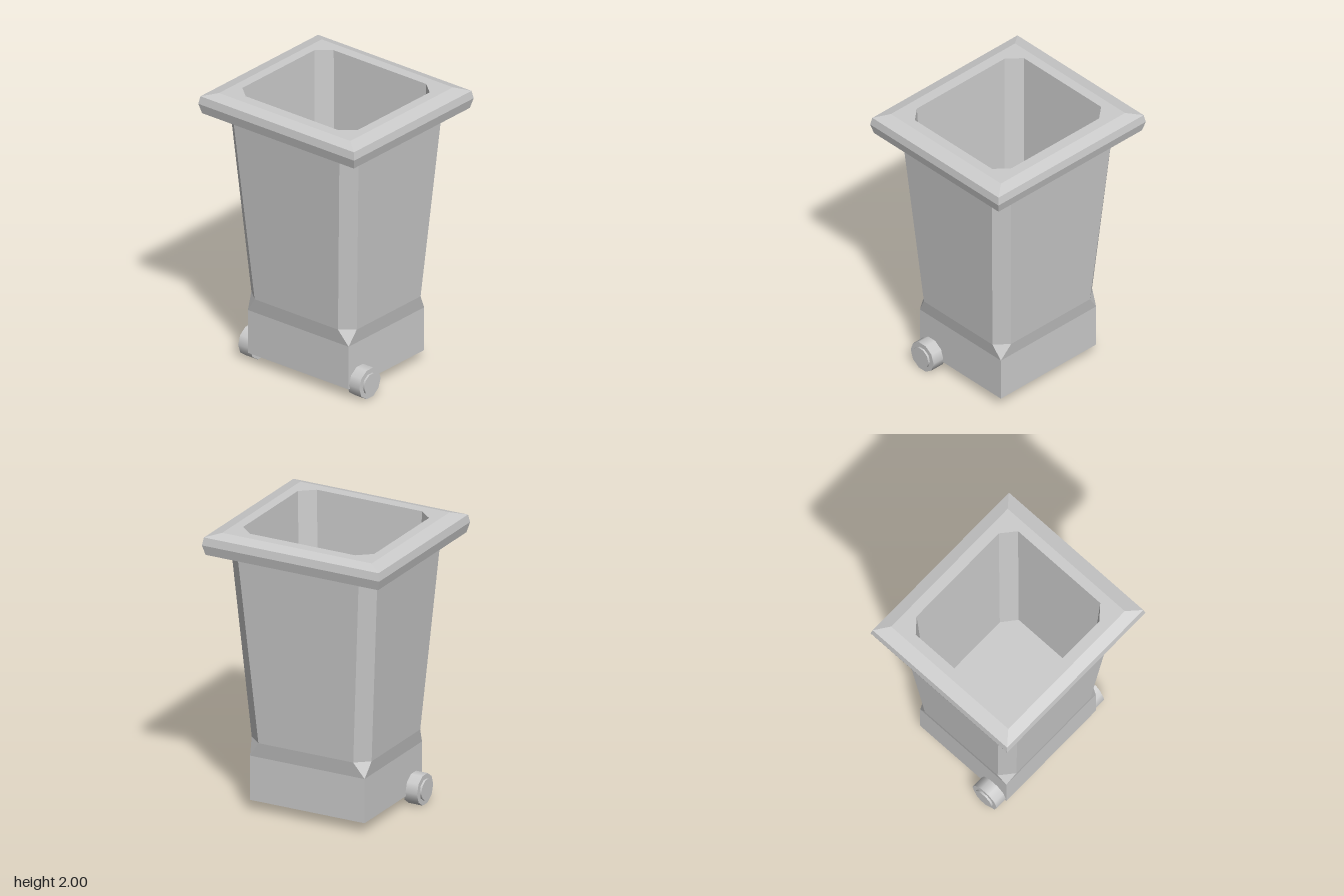
import * as THREE from 'three';

const flat = new THREE.MeshStandardMaterial({ color: 0xcccccc, flatShading: true });
const smooth = new THREE.MeshStandardMaterial({ color: 0xcccccc });

// Eight-point ring: half sizes hx, hz, with the corners cut back to cx, cz
function ring(y, hx, hz, cx = hx, cz = hz) {
  return [
    [hx, -cz], [hx, cz], [cx, hz], [-cx, hz],
    [-hx, cz], [-hx, -cz], [-cx, -hz], [cx, -hz],
  ].map(([x, z]) => new THREE.Vector3(x, y, z));
}

// Skin a sequence of rings, skipping collapsed triangles
function loft(name, rings) {
  const positions = [];
  const triangle = (a, b, c) => {
    if (a.equals(b) || b.equals(c) || c.equals(a)) return;
    for (const p of [a, b, c]) positions.push(p.x, p.y, p.z);
  };
  for (let r = 0; r < rings.length - 1; r++) {
    for (let i = 0; i < 8; i++) {
      const j = (i + 1) % 8;
      triangle(rings[r][i], rings[r + 1][i], rings[r][j]);
      triangle(rings[r][j], rings[r + 1][i], rings[r + 1][j]);
    }
  }
  const geometry = new THREE.BufferGeometry();
  geometry.setAttribute('position', new THREE.Float32BufferAttribute(positions, 3));
  geometry.computeVertexNormals();
  const mesh = new THREE.Mesh(geometry, flat);
  mesh.name = name;
  return mesh;
}

// Ten-sided disc with its axle along z
function disc(name, radius, z0, z1) {
  const geometry = new THREE.CylinderGeometry(radius, radius, z1 - z0, 10);
  geometry.rotateY(Math.PI / 2).rotateX(Math.PI / 2).translate(0, 0, (z0 + z1) / 2);
  const mesh = new THREE.Mesh(geometry, smooth);
  mesh.name = name;
  return mesh;
}

export function createModel() {
  const group = new THREE.Group();
  group.name = 'wheeledBin';

  const bodyTop = ring(1.85, 0.515, 0.555, 0.43, 0.46);
  const opening = ring(2, 0.455, 0.498, 0.372, 0.4);

  // Square foot flaring into a tapered body with cut corners
  group.add(loft('body', [
    ring(0.075, 0, 0),
    ring(0.075, 0.39, 0.435),
    ring(0.39, 0.39, 0.435),
    ring(0.5, 0.41, 0.455, 0.33, 0.36),
    bodyTop,
  ]));

  // Overhanging bevelled rim
  group.add(loft('rim', [
    bodyTop,
    ring(1.85, 0.6, 0.655),
    ring(1.92, 0.618, 0.673),
    ring(1.975, 0.608, 0.663),
    ring(2, 0.53, 0.567),
    opening,
  ]));

  // Inner walls and floor
  group.add(loft('interior', [
    opening,
    ring(0.5, 0.395, 0.443, 0.315, 0.345),
    ring(0.5, 0, 0),
  ]));

  // Wheels with raised hubs on the front and back faces
  for (const side of [1, -1]) {
    const wheel = new THREE.Group();
    wheel.name = side > 0 ? 'frontWheel' : 'backWheel';
    wheel.add(disc('tyre', 0.11, 0.418, 0.523), disc('hub', 0.075, 0.5, 0.537));
    wheel.position.set(-0.275, 0.105, 0);
    if (side < 0) wheel.rotation.y = Math.PI;
    group.add(wheel);
  }
  return group;
}
